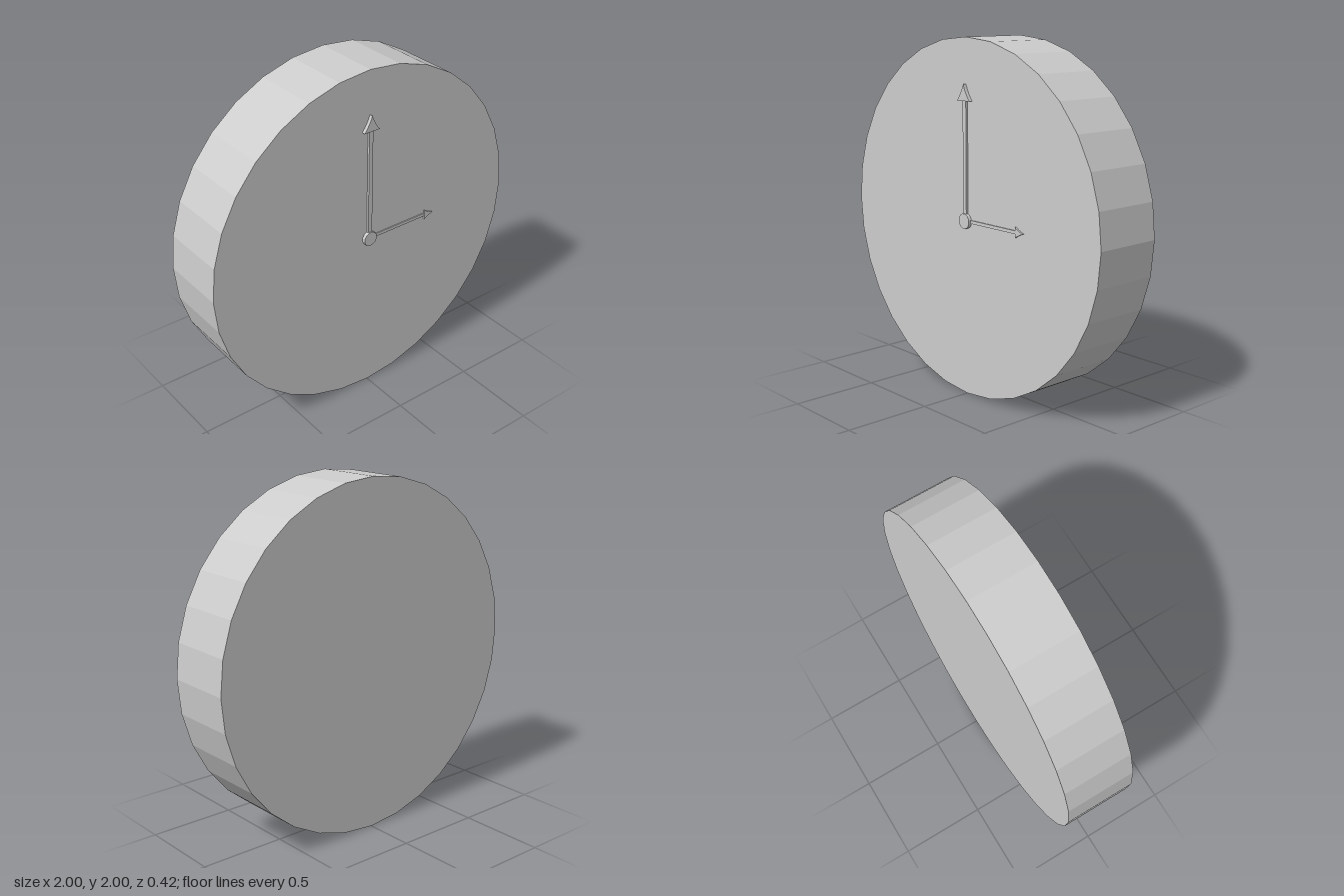
import * as THREE from 'three';

const FACE_Z = 0.19; // front plane of the dial

export function createModel() {
  const group = new THREE.Group();
  const material = new THREE.MeshStandardMaterial({ color: 0xcccccc, flatShading: true });

  const add = (name, geometry, parent = group) => {
    const mesh = new THREE.Mesh(geometry, material);
    mesh.name = name;
    parent.add(mesh);
    return mesh;
  };

  // Disc whose axis runs along z, resting between two depths
  const disc = (radius, sides, back, front, turn = 0) =>
    new THREE.CylinderGeometry(radius, radius, front - back, sides)
      .rotateY(turn)
      .rotateX(Math.PI / 2)
      .translate(0, 1, (back + front) / 2);

  // Clock hand pointing up from its pivot: a flat bar with a barbed arrowhead
  const hand = (name, { length, width, headLength, headWidth, barDepth, headDepth }) => {
    const pivot = new THREE.Group();
    pivot.name = name;
    pivot.position.set(0, 1, FACE_Z);
    const barLength = length - headLength;
    add(name + 'Bar', new THREE.BoxGeometry(width, barLength, barDepth)
      .translate(0, barLength / 2, barDepth / 2), pivot);

    const w = headWidth / 2;
    const head = new THREE.Shape();
    head.moveTo(-w, barLength);
    head.lineTo(w, barLength);
    head.quadraticCurveTo(w * 0.35, barLength + headLength * 0.45, 0, length);
    head.quadraticCurveTo(-w * 0.35, barLength + headLength * 0.45, -w, barLength);
    add(name + 'Head', new THREE.ExtrudeGeometry(head, {
      depth: headDepth, bevelEnabled: false, curveSegments: 4,
    }), pivot);
    group.add(pivot);
    return pivot;
  };

  // Drum-shaped clock body
  add('clockBody', disc(1, 32, -0.21, FACE_Z));

  // Hands set to three o'clock
  hand('minuteHand', {
    length: 0.75, width: 0.026, headLength: 0.09, headWidth: 0.1, barDepth: 0.013, headDepth: 0.02,
  });
  hand('hourHand', {
    length: 0.46, width: 0.018, headLength: 0.06, headWidth: 0.058, barDepth: 0.006, headDepth: 0.01,
  }).rotation.z = -Math.PI / 2;

  // Pivot cap over the hands
  add('centreCap', disc(0.043, 12, FACE_Z, 0.21, Math.PI / 12));

  return group;
}
